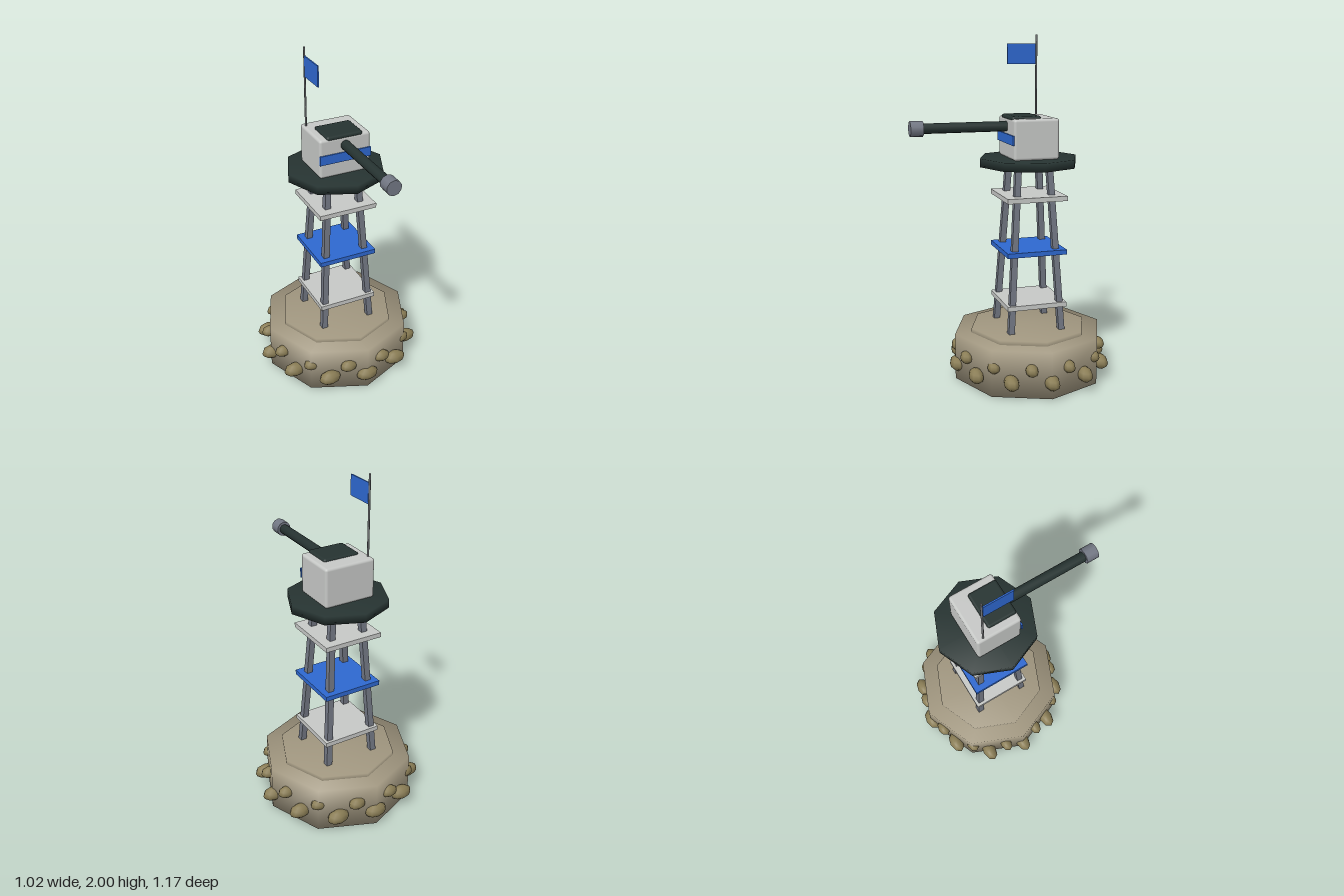
import * as THREE from 'three';
import { mergeVertices } from 'three/addons/utils/BufferGeometryUtils.js';
import { RoundedBoxGeometry } from 'three/addons/geometries/RoundedBoxGeometry.js';

const material = (name, color) => {
  const m = new THREE.MeshStandardMaterial({ color });
  m.name = name;
  return m;
};

// Weld all corners so normals blend across the rims
function soften(geometry) {
  geometry.deleteAttribute('normal');
  geometry.deleteAttribute('uv');
  const welded = mergeVertices(geometry, 1e-4);
  welded.computeVertexNormals();
  return welded;
}

export function createModel() {
  const sand = material('sand', 0xa0967f);
  const rock = material('rock', 0x8a7d55);
  const steel = material('steel', 0x737884);
  const pale = material('pale grey', 0xc6c8c6);
  const blue = material('blue', 0x2e68d0);
  const dark = material('dark green', 0x263331);
  const poleGrey = material('pole grey', 0x707274);

  const model = new THREE.Group();
  const tower = new THREE.Group();
  tower.name = 'tower';
  tower.position.z = -0.103;
  model.add(tower);

  const add = (name, geometry, mat, x = 0, y = 0, z = 0) => {
    const mesh = new THREE.Mesh(geometry, mat);
    mesh.name = name;
    mesh.position.set(x, y, z);
    tower.add(mesh);
    return mesh;
  };
  const drum = (r, h, sides = 8) => soften(new THREE.CylinderGeometry(r, r, h, sides));

  // Octagonal mound with a raised step
  add('base', drum(0.45, 0.275), sand, 0, 0.1375);
  add('baseStep', drum(0.35, 0.06), sand, 0, 0.27);

  // Two staggered rings of boulders
  const boulder = soften(new THREE.SphereGeometry(1, 8, 6));
  const rings = [
    { name: 'lowerBoulder', y: 0.095, r: 0.44, start: 0, size: [0.07, 0.043, 0.043] },
    { name: 'upperBoulder', y: 0.168, r: 0.425, start: Math.PI / 12, size: [0.054, 0.036, 0.036] },
  ];
  for (const ring of rings) {
    for (let i = 0; i < 12; i++) {
      const a = ring.start + (i * Math.PI) / 6;
      add(ring.name, boulder, rock, Math.sin(a) * ring.r, ring.y, Math.cos(a) * ring.r)
        .scale.set(...ring.size);
    }
  }

  // Four legs leaning inwards
  const foot = 0.155, head = 0.092, legBottom = 0.27, legTop = 1.28;
  for (const sx of [-1, 1]) {
    for (const sz of [-1, 1]) {
      const a = new THREE.Vector3(sx * foot, legBottom, sz * foot);
      const b = new THREE.Vector3(sx * head, legTop, sz * head);
      const dir = b.clone().sub(a);
      const mid = a.clone().add(b).multiplyScalar(0.5);
      const leg = add('leg', new THREE.BoxGeometry(0.036, dir.length(), 0.036), steel, mid.x, mid.y, mid.z);
      leg.quaternion.setFromUnitVectors(new THREE.Vector3(0, 1, 0), dir.normalize());
    }
  }

  // Square decks between the legs
  [0.455, 0.77, 1.085].forEach((y, i) =>
    add('deck', new THREE.BoxGeometry(0.356, 0.028, 0.356), i === 1 ? blue : pale, 0, y, 0));

  // Platform and cabin
  add('platform', drum(0.291, 0.05), dark, 0, 1.285);
  add('cabin', new RoundedBoxGeometry(0.31, 0.232, 0.268, 2, 0.016), pale, 0, 1.424, 0);
  add('cabinStripe', new THREE.BoxGeometry(0.312, 0.055, 0.009), blue, 0, 1.422, 0.137);
  add('roofHatch', new RoundedBoxGeometry(0.22, 0.03, 0.175, 2, 0.0145), dark, 0, 1.538, 0.045);

  // Gun barrel and muzzle
  add('barrel', drum(0.029, 0.52, 10), dark, 0, 1.49, 0.37).rotation.x = Math.PI / 2;
  add('muzzle', new THREE.CylinderGeometry(0.044, 0.044, 0.073, 10), steel, 0, 1.49, 0.654)
    .rotation.x = Math.PI / 2;

  // Flag on its pole
  add('flagPole', new THREE.CylinderGeometry(0.006, 0.006, 0.48, 8), poleGrey, -0.137, 1.76, -0.09);
  add('flag', new THREE.BoxGeometry(0.008, 0.118, 0.172), blue, -0.137, 1.892, 0.002);

  return model;
}
